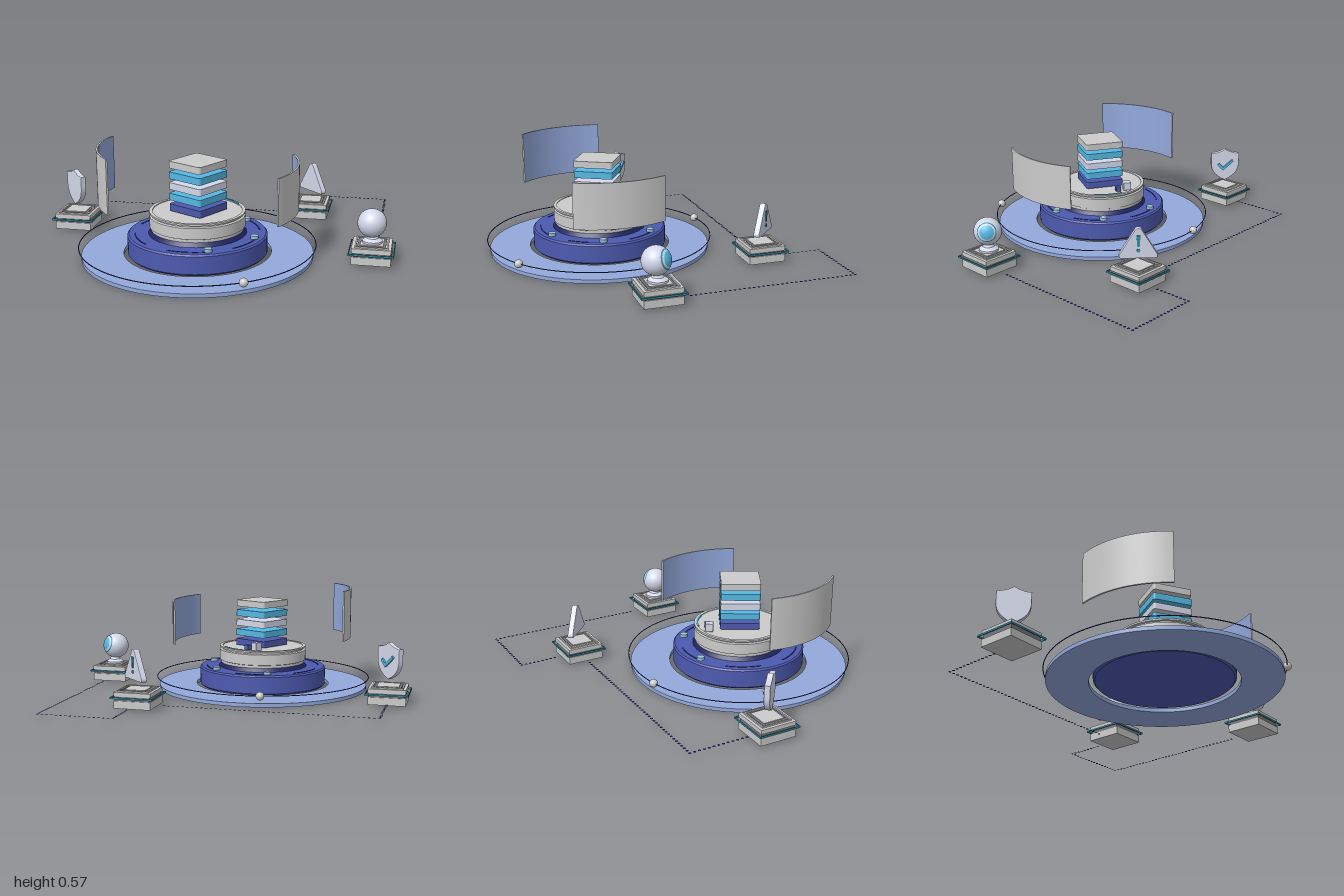
import * as THREE from 'three';
import { RoundedBoxGeometry } from 'three/addons/geometries/RoundedBoxGeometry.js';

const mat = (color, side = THREE.FrontSide) => new THREE.MeshStandardMaterial({ color, side });
const GREY = mat(0xcccccc), DARK = mat(0x77777c), PALE = mat(0xd4d8ea), SKY = mat(0x55b8e4), TEAL = mat(0x2f8fa8),
  NAVY = mat(0x4c5ab0), INK = mat(0x1f2560), BLUE = mat(0x93a9dc), STUD = mat(0x9cc4d8);
const rad = THREE.MathUtils.degToRad;

function add(parent, name, geometry, material, x = 0, y = 0, z = 0) {
  const m = new THREE.Mesh(geometry, material);
  m.name = name;
  m.position.set(x, y, z);
  parent.add(m);
  return m;
}

// Upright solid of revolution from [radius, height] points
const lathe = (pts) => {
  const g = new THREE.LatheGeometry(pts.flatMap(([r, y]) => [new THREE.Vector2(r, y), new THREE.Vector2(r, y)]), 72);
  const flat = g.toNonIndexed();
  g.dispose();
  // smooth around the axis, sharp between rings
  const p = flat.attributes.position, n = flat.attributes.normal;
  const a = new THREE.Vector3(), b = new THREE.Vector3(), c = new THREE.Vector3();
  for (let i = 0; i < p.count; i += 3) {
    a.fromBufferAttribute(p, i); b.fromBufferAttribute(p, i + 1); c.fromBufferAttribute(p, i + 2);
    const f = b.clone().sub(a).cross(c.clone().sub(a)).normalize();
    const h = Math.hypot(f.x, f.z);
    [a, b, c].forEach((v, k) => {
      const r = Math.hypot(v.x, v.z) || 1;
      n.setXYZ(i + k, r < 0.001 ? f.x : h * v.x / r * Math.sign(f.x * v.x + f.z * v.z || 1), f.y,
        r < 0.001 ? f.z : h * v.z / r * Math.sign(f.x * v.x + f.z * v.z || 1));
    });
  }
  return flat;
};

// Vertical extrusion of an annular sector, angles in degrees from +x toward +z
function arcWall(rIn, rOut, from, to, y0, y1) {
  const s = new THREE.Shape();
  s.absarc(0, 0, rOut, rad(from), rad(to), false);
  s.absarc(0, 0, rIn, rad(to), rad(from), true);
  return new THREE.ExtrudeGeometry(s, { depth: y1 - y0, bevelEnabled: false, curveSegments: 28 })
    .rotateX(Math.PI / 2).translate(0, y1, 0);
}

// Horizontal square frame
function squareFrame(outer, inner, h) {
  const sq = (C, a) => new C([[-a, -a], [a, -a], [a, a], [-a, a]].map(([x, y]) => new THREE.Vector2(x, y)));
  const s = sq(THREE.Shape, outer / 2);
  s.holes.push(sq(THREE.Path, inner / 2));
  return new THREE.ExtrudeGeometry(s, { depth: h, bevelEnabled: false }).rotateX(-Math.PI / 2);
}

const bevelled = (shape, depth) => new THREE.ExtrudeGeometry(shape,
  { depth: depth - 0.008, bevelThickness: 0.004, bevelSize: 0.004, bevelSegments: 2, curveSegments: 12 })
  .translate(0, 0, -depth / 2 + 0.004);

function pedestal(name, x, z) {
  const g = new THREE.Group();
  g.name = name;
  g.position.set(x, 0, z);
  const block = new THREE.Group();
  block.name = 'block';
  block.rotation.y = rad(33.5);
  g.add(block);
  const slab = (n, w, y0, y1, m) => add(block, n, new THREE.BoxGeometry(w, y1 - y0, w), m, 0, (y0 + y1) / 2, 0);
  slab('lowerSlab', 0.196, 0.01, 0.05, GREY);
  slab('middleSlab', 0.186, 0.05, 0.072, DARK);
  slab('upperSlab', 0.196, 0.072, 0.094, GREY);
  slab('topInset', 0.14, 0.094, 0.098, DARK);
  slab('topPlate', 0.115, 0.098, 0.102, GREY);
  add(block, 'topRim', squareFrame(0.165, 0.15, 0.007), GREY, 0, 0.094, 0);
  add(block, 'glowFrame', squareFrame(0.226, 0.217, 0.009), TEAL, 0, 0.061, 0);
  // the emblem faces local +z
  const icon = new THREE.Group();
  icon.name = 'emblem';
  icon.rotation.y = rad(80);
  g.add(icon);
  return { g, icon };
}

export function createModel() {
  const root = new THREE.Group();
  root.name = 'securityPlatform';
  const hub = new THREE.Group();
  hub.name = 'hub';
  hub.position.set(-0.4, 0, 0.078);
  root.add(hub);

  // Outer disc, orbit line and its beads
  add(hub, 'outerDisc', lathe([[0.375, 0], [0.588, 0], [0.588, 0.02], [0.375, 0.02], [0.375, 0]]), BLUE);
  add(hub, 'orbitLine', new THREE.TorusGeometry(0.6, 0.0025, 6, 120).rotateX(Math.PI / 2), INK, 0, 0.062, 0);
  for (const a of [-45, 113]) {
    add(hub, 'orbitBead', new THREE.SphereGeometry(0.022, 24, 16), GREY,
      0.6 * Math.cos(rad(a)), 0.062, 0.6 * Math.sin(rad(a)));
  }

  // Round base with slots and studs
  add(hub, 'base', lathe([[0, 0.012], [0.345, 0.012], [0.355, 0.022], [0.355, 0.112], [0.347, 0.12], [0, 0.12]]), NAVY);
  for (let i = 0; i < 6; i++) {
    const a = 24 + i * 60;
    add(hub, 'baseSlot', arcWall(0.312, 0.319, a - 17, a + 17, 0.118, 0.122), INK);
  }
  for (const a of [-51, 10, 67, 124]) {
    add(hub, 'stud', new THREE.CylinderGeometry(0.02, 0.02, 0.016, 24), STUD,
      0.307 * Math.cos(rad(a)), 0.128, 0.307 * Math.sin(rad(a)));
  }

  // Drum
  add(hub, 'neck', new THREE.CylinderGeometry(0.23, 0.25, 0.025, 64), INK, 0, 0.131, 0);
  add(hub, 'drum', lathe([[0, 0.141], [0.236, 0.141], [0.236, 0.155], [0.243, 0.158], [0.243, 0.215],
    [0.232, 0.219], [0.232, 0.225], [0.243, 0.227], [0.243, 0.236], [0.226, 0.236], [0.226, 0.232], [0, 0.232]]), GREY);
  add(hub, 'drumLight', arcWall(0.222, 0.23, -18, 22, 0.23, 0.239), SKY);
  add(hub, 'smallBlock', new RoundedBoxGeometry(0.043, 0.045, 0.043, 2, 0.004), PALE, 0.155, 0.255, -0.112);
  add(hub, 'smallPeg', new RoundedBoxGeometry(0.028, 0.028, 0.028, 2, 0.003), NAVY, 0.17, 0.246, -0.06);

  // Stack of tiles
  const tile = new THREE.Shape(), t = 0.105, r = 0.012;
  [[1, 1, 0], [-1, 1, 90], [-1, -1, 180], [1, -1, 270]].forEach(([sx, sy, a]) =>
    tile.absarc(sx * (t - r), sy * (t - r), r, rad(a), rad(a + 90), false));
  const tileGeo = new THREE.ExtrudeGeometry(tile, { depth: 0.036, bevelEnabled: false, curveSegments: 6 }).rotateX(-Math.PI / 2);
  [NAVY, SKY, PALE, SKY, GREY].forEach((m, i) => {
    add(hub, 'tile', tileGeo, m, 0, 0.237 + i * 0.0552, 0.008).rotation.y = rad(4.5);
  });

  // Curved screens: grey shell with a blue inner face
  for (const [R, a0, a1, y0, y1] of [[0.495, 193, 251, 0.29, 0.566], [0.512, 30, 85, 0.25, 0.488]]) {
    add(hub, 'screenShell', arcWall(R - 0.009, R, a0, a1, y0, y1), GREY);
    add(hub, 'screenFace', new THREE.CylinderGeometry(R - 0.0105, R - 0.0105, y1 - y0, 28, 1, true,
      Math.PI / 2 - rad(a1), rad(a1 - a0)), mat(0x93a9dc, THREE.BackSide), 0, (y0 + y1) / 2, 0);
  }

  // Camera pedestal
  const cam = pedestal('cameraPedestal', 0.13, 0.78);
  root.add(cam.g);
  add(cam.g, 'cameraFoot', lathe([[0, 0.1], [0.05, 0.1], [0.05, 0.112], [0.03, 0.125], [0.022, 0.145], [0, 0.145]]), PALE);
  const head = new THREE.Group();
  head.name = 'cameraHead';
  head.position.set(-0.008, 0.203, 0);
  head.rotation.order = 'YXZ';
  head.rotation.set(rad(-15), rad(80), 0);
  cam.g.add(head);
  add(head, 'ball', new THREE.SphereGeometry(0.072, 40, 28), PALE);
  [[0.0728, 0.76, TEAL], [0.0734, 0.66, PALE], [0.074, 0.52, SKY]].forEach(([R, th, m]) =>
    add(head, 'lens', new THREE.SphereGeometry(R, 32, 8, 0, Math.PI * 2, 0, th).rotateX(Math.PI / 2), m));

  // Warning pedestal
  const warn = pedestal('warningPedestal', 0.485, 0.078);
  root.add(warn.g);
  const tri = new THREE.Shape();
  tri.moveTo(-0.085, 0.15).lineTo(0.085, 0.15).quadraticCurveTo(0.097, 0.152, 0.09, 0.167)
    .lineTo(0.013, 0.295).quadraticCurveTo(0, 0.308, -0.013, 0.295)
    .lineTo(-0.09, 0.167).quadraticCurveTo(-0.097, 0.152, -0.085, 0.15);
  add(warn.icon, 'triangle', bevelled(tri, 0.032), PALE, 0, 0, 0.012);
  const bar = new THREE.Shape([[-0.006, 0.21], [0.006, 0.21], [0.01, 0.268], [-0.01, 0.268]].map(([x, y]) => new THREE.Vector2(x, y)));
  add(warn.icon, 'warningBar', new THREE.ExtrudeGeometry(bar, { depth: 0.006, bevelEnabled: false }), TEAL, 0, 0, 0.026);
  add(warn.icon, 'warningDot', new THREE.CylinderGeometry(0.009, 0.009, 0.006, 20).rotateX(Math.PI / 2), TEAL, 0, 0.189, 0.029);

  // Shield pedestal
  const guard = pedestal('shieldPedestal', -0.553, -0.716);
  root.add(guard.g);
  const sh = new THREE.Shape();
  sh.moveTo(0, 0.135).bezierCurveTo(0.055, 0.16, 0.08, 0.19, 0.08, 0.24).lineTo(0.08, 0.295)
    .quadraticCurveTo(0.035, 0.298, 0, 0.321).quadraticCurveTo(-0.035, 0.298, -0.08, 0.295)
    .lineTo(-0.08, 0.24).bezierCurveTo(-0.08, 0.19, -0.055, 0.16, 0, 0.135);
  add(guard.icon, 'shield', bevelled(sh, 0.03), PALE, 0, 0, -0.006);
  const tick = new THREE.Shape([[-0.046, 0.228], [-0.012, 0.194], [0.05, 0.25], [0.041, 0.261], [-0.011, 0.214], [-0.036, 0.239]]
    .map(([x, y]) => new THREE.Vector2(x, y)));
  add(guard.icon, 'checkMark', new THREE.ExtrudeGeometry(tick, { depth: 0.012, bevelEnabled: false }), SKY, 0, 0, 0.008);

  // Dotted floor paths between the pedestals
  const dot = new THREE.CircleGeometry(0.0075, 10).rotateX(-Math.PI / 2);
  const dotMat = mat(0x2a2590, THREE.DoubleSide);
  for (const path of [[[-0.46, -0.78], [-0.2, -0.95], [0.42, -0.016]], [[0.61, 0.01], [0.77, -0.1], [0.992, 0.227], [0.25, 0.72]]]) {
    for (let i = 1; i < path.length; i++) {
      const [ax, az] = path[i - 1], [bx, bz] = path[i];
      const n = Math.round(Math.hypot(bx - ax, bz - az) / 0.025);
      for (let k = 0; k < n; k++) add(root, 'pathDot', dot, dotMat, ax + (bx - ax) * k / n, 0.016, az + (bz - az) * k / n);
    }
  }
  return root;
}
